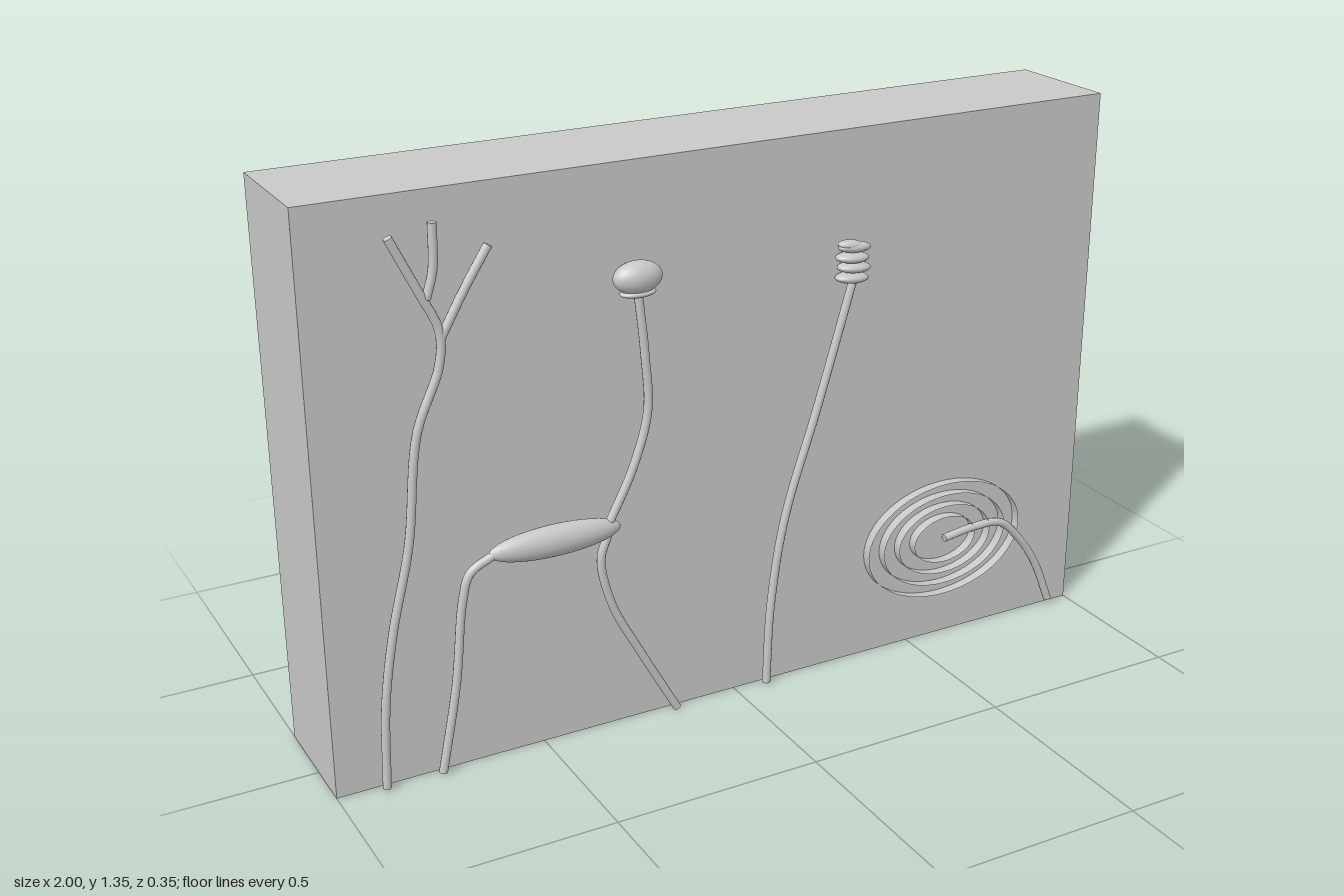
import * as THREE from 'three';

const Z = 0.14; // depth of the relief in front of the slab
const R = 0.01; // stem radius

export function createModel() {
  const model = new THREE.Group();
  const stone = new THREE.MeshStandardMaterial({ color: 0xc8c8c8 });
  stone.name = 'paleGrey';
  const openStone = new THREE.MeshStandardMaterial({ color: 0xc8c8c8, side: THREE.DoubleSide });
  openStone.name = 'paleGreyThin';

  const add = (parent, name, geometry, material = stone) => {
    const mesh = new THREE.Mesh(geometry, material);
    mesh.name = name;
    parent.add(mesh);
    return mesh;
  };
  const group = (name) => {
    const g = new THREE.Group();
    g.name = name;
    model.add(g);
    return g;
  };

  // Round stem through x, y points, closed with a disc at each end
  const stem = (parent, name, points) => {
    const g = new THREE.Group();
    g.name = name;
    parent.add(g);
    const curve = new THREE.CatmullRomCurve3(points.map(([x, y]) => new THREE.Vector3(x, y, Z)));
    add(g, 'stemTube', new THREE.TubeGeometry(curve, 48, R, 12));
    for (const t of [0, 1]) {
      const cap = add(g, 'stemEnd', new THREE.CircleGeometry(R, 12));
      const out = curve.getTangentAt(t).multiplyScalar(t ? 1 : -1);
      cap.position.copy(curve.getPointAt(t));
      cap.quaternion.setFromUnitVectors(new THREE.Vector3(0, 0, 1), out);
    }
  };
  const ellipsoid = (parent, name, x, y, rx, ry, rz, tilt = 0) => {
    const mesh = add(parent, name, new THREE.SphereGeometry(1, 40, 24));
    mesh.scale.set(rx, ry, rz);
    mesh.position.set(x, y, Z);
    mesh.rotation.z = tilt;
  };

  // Slab
  const slab = add(model, 'slab', new THREE.BoxGeometry(2, 1.345, 0.295));
  slab.position.set(0, 0.6725, -0.0275);

  // Branching tree
  const tree = group('tree');
  stem(tree, 'trunk', [[-0.89, 0.005], [-0.88, 0.21], [-0.853, 0.38], [-0.805, 0.58], [-0.772, 0.83],
    [-0.715, 0.97], [-0.71, 1.045], [-0.75, 1.135], [-0.81, 1.26]]);
  stem(tree, 'middleBranch', [[-0.735, 1.12], [-0.718, 1.18], [-0.714, 1.28]]);
  stem(tree, 'rightBranch', [[-0.708, 1.03], [-0.65, 1.13], [-0.595, 1.215]]);

  // Long-necked animal
  const animal = group('animal');
  stem(animal, 'rearLeg', [[-0.757, 0.005], [-0.715, 0.22], [-0.69, 0.42], [-0.67, 0.48], [-0.61, 0.513]]);
  stem(animal, 'frontLeg', [[-0.165, 0.005], [-0.255, 0.17], [-0.33, 0.32], [-0.355, 0.44], [-0.335, 0.5]]);
  stem(animal, 'neck', [[-0.335, 0.52], [-0.27, 0.65], [-0.233, 0.775], [-0.238, 0.91], [-0.253, 1.06]]);
  ellipsoid(animal, 'body', -0.465, 0.513, 0.16, 0.037, 0.03);
  ellipsoid(animal, 'head', -0.253, 1.09, 0.058, 0.037, 0.034);
  ellipsoid(animal, 'collar', -0.253, 1.055, 0.043, 0.01, 0.024);

  // Stalk topped with stacked discs
  const flower = group('flower');
  stem(flower, 'stalk', [[0.08, 0.005], [0.09, 0.21], [0.125, 0.43], [0.21, 0.7], [0.298, 0.995]]);
  for (let i = 0; i < 4; i++) {
    ellipsoid(flower, 'disc', 0.296 + (i % 2 ? 0.003 : -0.002), 1.002 + i * 0.024,
      0.043, 0.013, i === 3 ? 0.02 : 0.026, -0.08);
  }
  ellipsoid(flower, 'topDisc', 0.29, 1.08, 0.034, 0.012, 0.018, -0.15);

  // Pond ripples as thin upright oval walls, with a reed across them
  const pond = group('pond');
  for (const rx of [0.09, 0.135, 0.18, 0.225]) {
    const ring = add(pond, 'ripple',
      new THREE.CylinderGeometry(1, 1, 0.028, 64, 1, true).rotateX(Math.PI / 2), openStone);
    ring.scale.set(rx, rx * 0.67, 1);
    ring.position.set(0.59, 0.27, 0.131);
  }
  stem(pond, 'reed', [[0.59, 0.272], [0.68, 0.283], [0.76, 0.277], [0.826, 0.215], [0.88, 0.135], [0.93, 0.02]]);

  return model;
}
